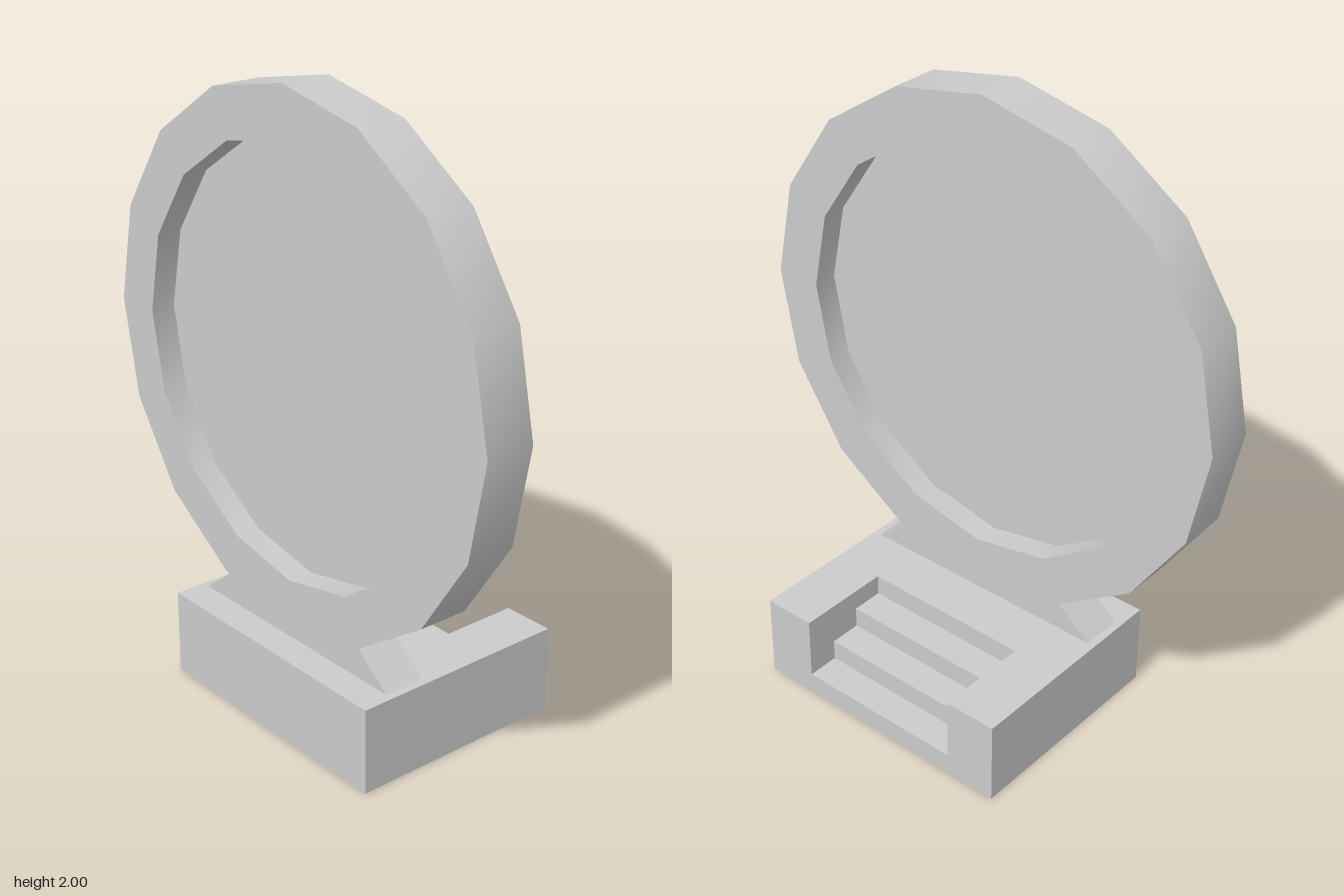
import * as THREE from 'three';
import { toCreasedNormals } from 'three/addons/utils/BufferGeometryUtils.js';

const SIDES = 16;
const RING_Y = 1.16, RING_Z = 0.195;

function polygon(radius) {
  return Array.from({ length: SIDES }, (_, i) => {
    const a = (i / SIDES) * Math.PI * 2;
    return new THREE.Vector2(radius * Math.cos(a), radius * Math.sin(a));
  });
}

// Extrusion centred on its own depth
function slab(shape, depth) {
  return new THREE.ExtrudeGeometry(shape, { depth, bevelEnabled: false }).translate(0, 0, -depth / 2);
}

export function createModel() {
  const model = new THREE.Group();
  const material = new THREE.MeshStandardMaterial({ color: 0xcccccc });
  const thin = new THREE.MeshStandardMaterial({ color: 0xcccccc, side: THREE.DoubleSide });

  function add(name, geometry, x, y, z, mat = material) {
    const mesh = new THREE.Mesh(geometry, mat);
    mesh.name = name;
    mesh.position.set(x, y, z);
    model.add(mesh);
    return mesh;
  }

  // Sixteen-sided ring, smooth around its rims
  const ringShape = new THREE.Shape(polygon(0.84));
  ringShape.holes.push(new THREE.Path(polygon(0.68)));
  add('ring', toCreasedNormals(slab(ringShape, 0.165), 0.6), 0, RING_Y, RING_Z);

  // Thin panel filling the middle of the ring
  add('portalPanel', new THREE.CircleGeometry(0.68, SIDES), 0, RING_Y, RING_Z, thin);

  // Tapered foot that cradles the ring
  const foot = new THREE.Shape([[-0.44, 0.28], [0.44, 0.28], [0.31, 0.38], [-0.31, 0.38]]
    .map(([x, y]) => new THREE.Vector2(x, y)));
  add('foot', slab(foot, 0.14), 0, 0, RING_Z + 0.003);

  // Middle of the base: side profile in (z, y) with three steps at the back
  const top = 0.28, half = 0.37, rise = top / 4, run = 0.107;
  const profile = new THREE.Shape();
  profile.moveTo(-half, 0);
  profile.lineTo(half, 0);
  profile.lineTo(half, top);
  for (let i = 3; i >= 1; i--) {
    profile.lineTo(-half + i * run, (i + 1) * rise);
    profile.lineTo(-half + i * run, i * rise);
  }
  profile.lineTo(-half, rise);
  profile.closePath();
  add('baseWithSteps', slab(profile, 0.58).rotateY(-Math.PI / 2), 0, 0, 0);

  // Solid cheeks on both sides of the steps
  for (const side of [-1, 1]) {
    add(side > 0 ? 'leftBaseCheek' : 'rightBaseCheek',
      new THREE.BoxGeometry(0.175, top, half * 2), side * 0.3775, top / 2, 0);
  }
  return model;
}
